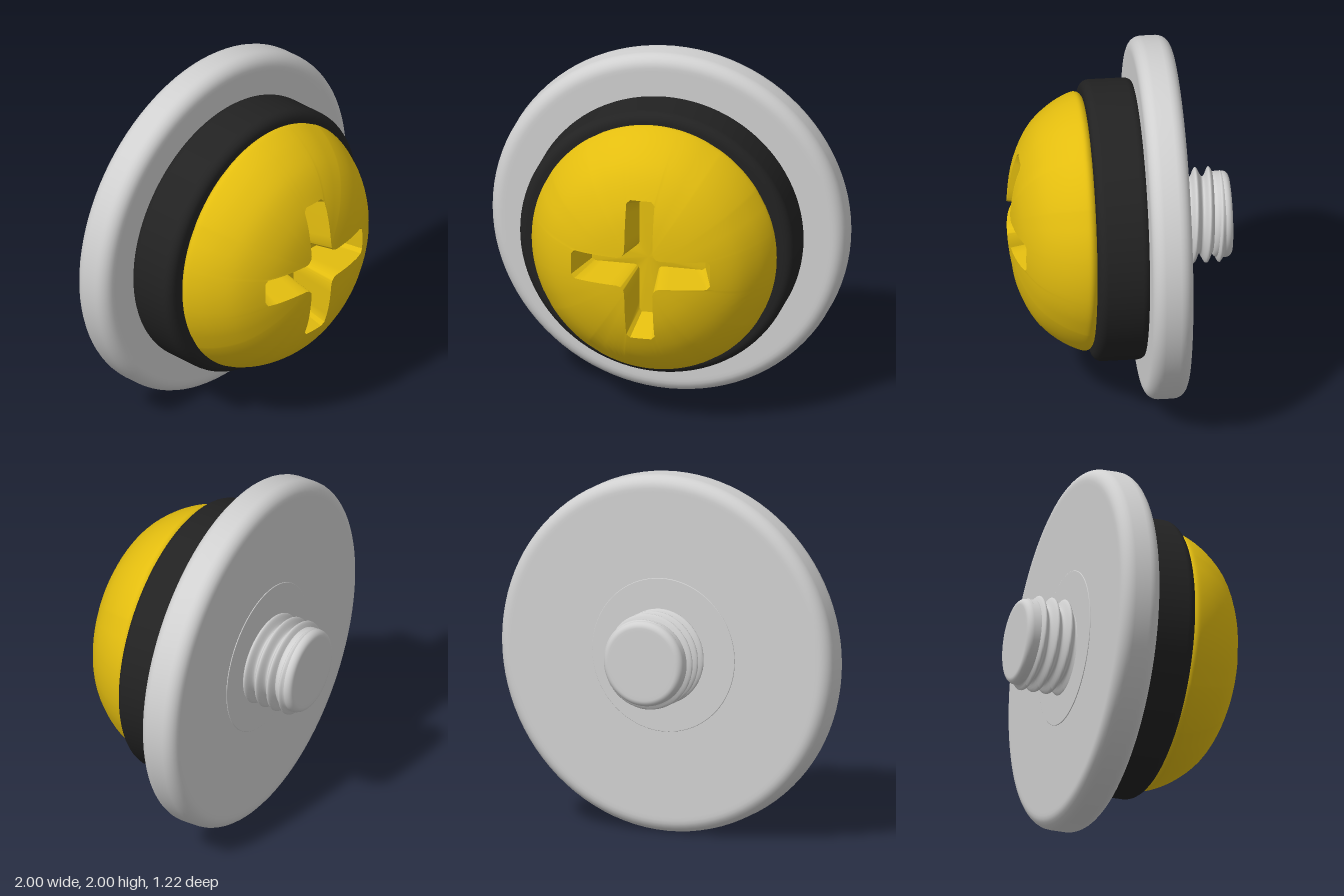
import * as THREE from 'three';
import { toCreasedNormals } from 'three/addons/utils/BufferGeometryUtils.js';

const material = (name, color) => {
  const m = new THREE.MeshStandardMaterial({ color });
  m.name = name;
  return m;
};

// Round slab along z with rounded rims
function slab(radius, zBack, zFront, round) {
  const pts = [[0, zBack], [radius - round - 0.02, zBack]];
  const arc = (z, from) => {
    for (let i = 0; i <= 6; i++) {
      const a = from + (i / 6) * Math.PI / 2;
      pts.push([radius - round + round * Math.cos(a), z + round * Math.sin(a)]);
    }
  };
  arc(zBack + round, -Math.PI / 2);
  arc(zFront - round, 0);
  pts.push([radius - round - 0.02, zFront], [0, zFront]);
  const geo = new THREE.LatheGeometry(pts.map(p => new THREE.Vector2(...p)), 96);
  return geo.rotateX(Math.PI / 2);
}

// Outline of a cross with rounded inner corners, counter-clockwise
function crossOutline(length, w) {
  const k = w * 0.55;
  const quarter = [
    [length, 0], [length, w * 0.75], [length - 0.02, w], [w + k, w],
    [w + k * 0.5, w + k * 0.13], [w + k * 0.13, w + k * 0.5],
    [w, w + k], [w, length - 0.02], [w * 0.75, length], [0, length]
  ];
  const out = [];
  for (let q = 0; q < 4; q++) {
    const c = [1, 0, -1, 0][q], s = [0, 1, 0, -1][q];
    for (let i = 0; i < quarter.length - 1; i++) {
      for (let n = 0; n < 5; n++) {
        const x = THREE.MathUtils.lerp(quarter[i][0], quarter[i + 1][0], n / 5);
        const y = THREE.MathUtils.lerp(quarter[i][1], quarter[i + 1][1], n / 5);
        out.push(new THREE.Vector2(x * c - y * s, x * s + y * c));
      }
    }
  }
  return out;
}

// Surface through closed rings, each running counter-clockwise
function loft(rings) {
  const n = rings[0].length, index = [];
  for (let j = 0; j < rings.length - 1; j++) {
    for (let i = 0; i < n; i++) {
      const i2 = (i + 1) % n;
      const a = j * n + i, b = a + n, c = (j + 1) * n + i2, d = j * n + i2;
      index.push(a, b, c, a, c, d);
    }
  }
  const geo = new THREE.BufferGeometry().setFromPoints(rings.flat());
  geo.setIndex(index);
  geo.computeVertexNormals();
  return geo;
}

// Domed head profile: x is radius, y is depth along z
const dome = new THREE.CatmullRomCurve3([
  [0, 0.615], [0.18, 0.606], [0.37, 0.567], [0.55, 0.475], [0.66, 0.355],
  [0.715, 0.25], [0.722, 0.215], [0.705, 0.19], [0.67, 0.175]
].map(p => new THREE.Vector3(p[0], p[1], 0)));

function domeParamAt(radius) {
  let lo = 0, hi = 0.7;
  for (let i = 0; i < 30; i++) {
    const mid = (lo + hi) / 2;
    if (dome.getPoint(mid).x < radius) lo = mid; else hi = mid;
  }
  return lo;
}

function makeHead(mat) {
  const head = new THREE.Group();
  head.name = 'screwHead';
  const rim = crossOutline(0.41, 0.083);
  const floor = crossOutline(0.335, 0.055);
  const starts = rim.map(p => domeParamAt(p.length()));

  // Dome, from the slot edge out to the rim
  const steps = 28, rings = [];
  for (let j = 0; j <= steps; j++) {
    rings.push(rim.map((p, i) => {
      const q = dome.getPoint(THREE.MathUtils.lerp(starts[i], 1, j / steps));
      const a = p.angle();
      return new THREE.Vector3(q.x * Math.cos(a), q.x * Math.sin(a), q.y);
    }));
  }
  const shell = new THREE.Mesh(loft(rings), mat);
  shell.name = 'headDome';

  // Cross slot with sloping walls
  const floorRing = floor.map(p => new THREE.Vector3(p.x, p.y, 0.35));
  const center = floor.map(() => new THREE.Vector3(0, 0, 0.36));
  const slotGeo = toCreasedNormals(loft([center, floorRing, rings[0]]), 0.7);
  const slot = new THREE.Mesh(slotGeo, mat);
  slot.name = 'crossSlot';

  head.add(shell, slot);
  head.scale.x = 0.955;
  return head;
}

// Threaded shank: a tube whose radius follows a helix, closed by a bevelled tip
function makeShank(mat) {
  const shank = new THREE.Group();
  shank.name = 'threadedShank';
  const zStart = -0.3, zEnd = -0.57, pitch = 0.074;
  const geo = new THREE.CylinderGeometry(1, 1, zStart - zEnd, 64, 48, true);
  geo.rotateX(Math.PI / 2).translate(0, 0, (zStart + zEnd) / 2);
  const pos = geo.attributes.position;
  for (let i = 0; i < pos.count; i++) {
    const x = pos.getX(i), y = pos.getY(i), z = pos.getZ(i);
    const phase = (z + 0.405) / pitch * Math.PI * 2 + Math.atan2(y, x);
    const fade = THREE.MathUtils.clamp((z - zEnd) / 0.03, 0, 1);
    const r = 0.238 + 0.027 * Math.cos(phase) * fade;
    pos.setXY(i, x * r, y * r);
  }
  geo.computeVertexNormals();
  const thread = new THREE.Mesh(geo, mat);
  thread.name = 'thread';
  const tip = new THREE.Mesh(slab(0.238, -0.61, -0.5, 0.035), mat);
  tip.name = 'shankTip';
  shank.add(thread, tip);
  return shank;
}

export function createModel() {
  const yellow = material('yellow paint', 0xe3bd0f);
  const black = material('black rubber', 0x222222);
  const gray = material('light gray metal', 0xd0d0d0);

  const model = new THREE.Group();
  model.name = 'screwWithWasher';
  const add = (name, geo, mat) => {
    const mesh = new THREE.Mesh(geo, mat);
    mesh.name = name;
    model.add(mesh);
  };
  add('washer', slab(1, -0.318, -0.095, 0.07), gray);
  add('rearCollar', slab(0.43, -0.322, -0.25, 0.003), gray);
  add('rubberRing', slab(0.775, -0.11, 0.185, 0.05), black);
  model.add(makeHead(yellow), makeShank(gray));
  model.children.forEach(part => { part.position.y = 1; });
  return model;
}
